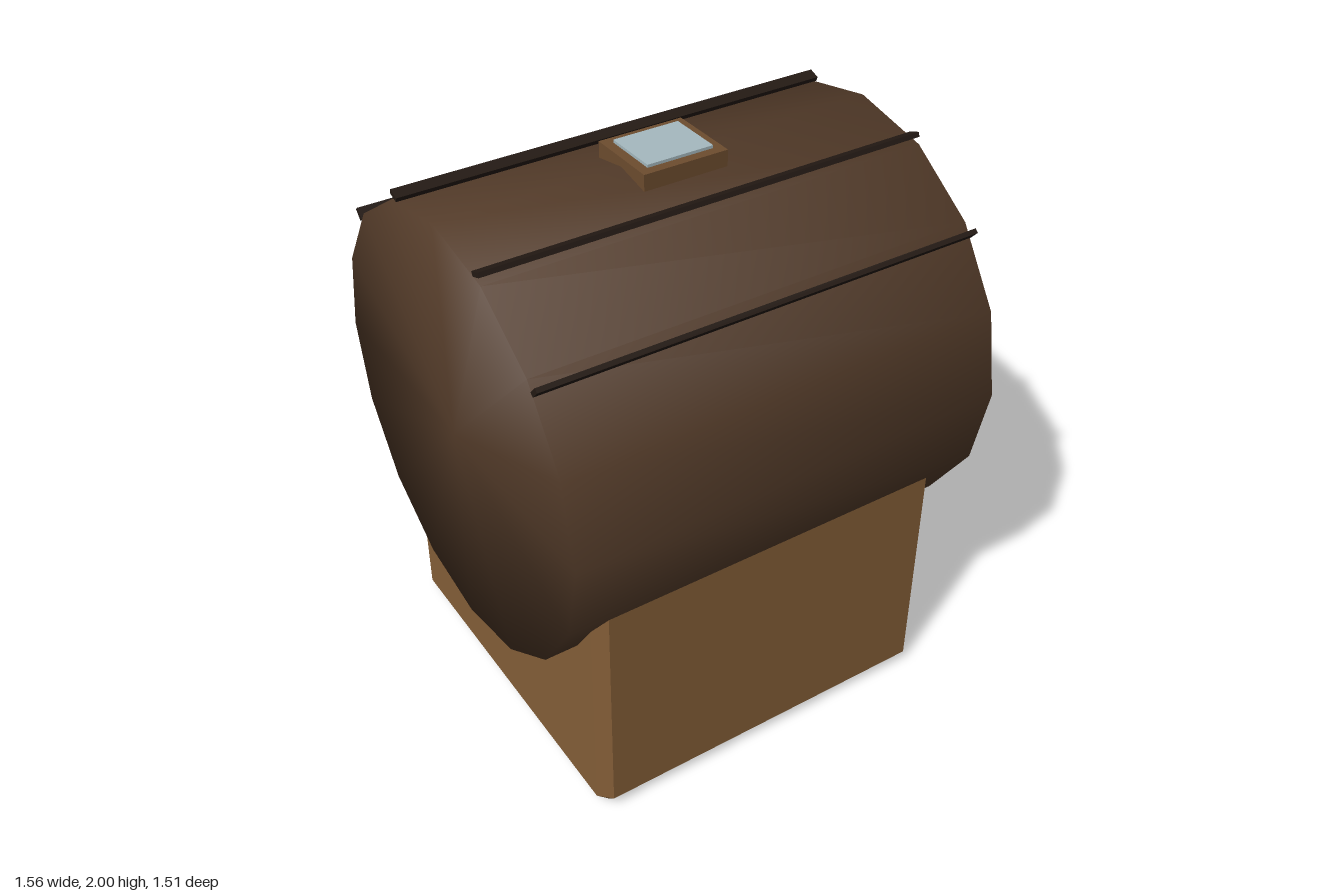
import * as THREE from 'three';
import { mergeVertices } from 'three/addons/utils/BufferGeometryUtils.js';
import { ConvexGeometry } from 'three/addons/geometries/ConvexGeometry.js';

const paint = (color, flatShading = false) => new THREE.MeshStandardMaterial({ color, flatShading });

// Box with every edge cut at 45 degrees
function chamferBox(w, h, d, c) {
  const pts = [];
  for (const x of [-1, 1]) for (const y of [-1, 1]) for (const z of [-1, 1]) {
    for (let axis = 0; axis < 3; axis++) {
      const inset = [c, c, c];
      inset[axis] = 0;
      pts.push(new THREE.Vector3(x * (w / 2 - inset[0]), y * (h / 2 - inset[1]), z * (d / 2 - inset[2])));
    }
  }
  return new ConvexGeometry(pts);
}

export function createModel() {
  const group = new THREE.Group();
  const wood = paint(0x855f38, true);
  const bark = paint(0x533b29);
  const dark = paint(0x241a14);
  const trim = paint(0x6e4d2f);
  const glass = paint(0xa6bac0);

  function add(name, geometry, material, x, y, z, parent = group) {
    const mesh = new THREE.Mesh(geometry, material);
    mesh.name = name;
    mesh.position.set(x, y, z);
    parent.add(mesh);
    return mesh;
  }

  // Base block, its upper part buried in the drum
  add('base', chamferBox(1.33, 1.33, 1.33, 0.042), wood, 0, 0.665, 0);

  // Sixteen-sided drum lying along x, with softened normals
  const drumY = 1.205;
  let drumGeometry = new THREE.CylinderGeometry(0.755, 0.755, 1.556, 16);
  drumGeometry.rotateZ(Math.PI / 2);
  drumGeometry.deleteAttribute('normal');
  drumGeometry.deleteAttribute('uv');
  drumGeometry = mergeVertices(drumGeometry, 1e-4);
  drumGeometry.computeVertexNormals();
  add('drum', drumGeometry, bark, 0, drumY, 0);

  // Roof battens, mirrored front to back, standing proud of the drum
  const battenGeometry = new THREE.BoxGeometry(1.56, 0.016, 0.04);
  for (const side of [-1, 1]) {
    for (const angle of [0.35, 0.84]) {
      const batten = add('roofBatten', battenGeometry, dark,
        0, drumY + 0.769 * Math.cos(angle), side * 0.769 * Math.sin(angle));
      batten.rotation.x = -side * angle;
    }
  }

  // Skylight
  const skylight = new THREE.Group();
  skylight.name = 'skylight';
  add('skylightFrame', new THREE.BoxGeometry(0.3, 0.06, 0.26), trim, 0, 1.96, 0, skylight);
  add('skylightGlass', new THREE.BoxGeometry(0.235, 0.03, 0.195), glass, 0, 1.985, 0, skylight);
  group.add(skylight);

  // Row of tags hanging on cords across the back
  const tagHeights = [0.645, 0.52, 0.62, 0.465, 0.655, 0.5, 0.61];
  const tagSize = 0.085;
  const cordTop = 0.95;
  tagHeights.forEach((y, i) => {
    const hanger = new THREE.Group();
    hanger.name = 'hanger';
    hanger.position.set(0.48 - i * 0.16, 0, 0);
    const bottom = y + tagSize / 2 - 0.005;
    add('cord', new THREE.CylinderGeometry(0.008, 0.008, cordTop - bottom, 8), dark,
      0, (cordTop + bottom) / 2, -0.69, hanger);
    add('tag', new THREE.BoxGeometry(tagSize, tagSize, 0.013), trim, 0, y, -0.698, hanger);
    group.add(hanger);
  });

  return group;
}
